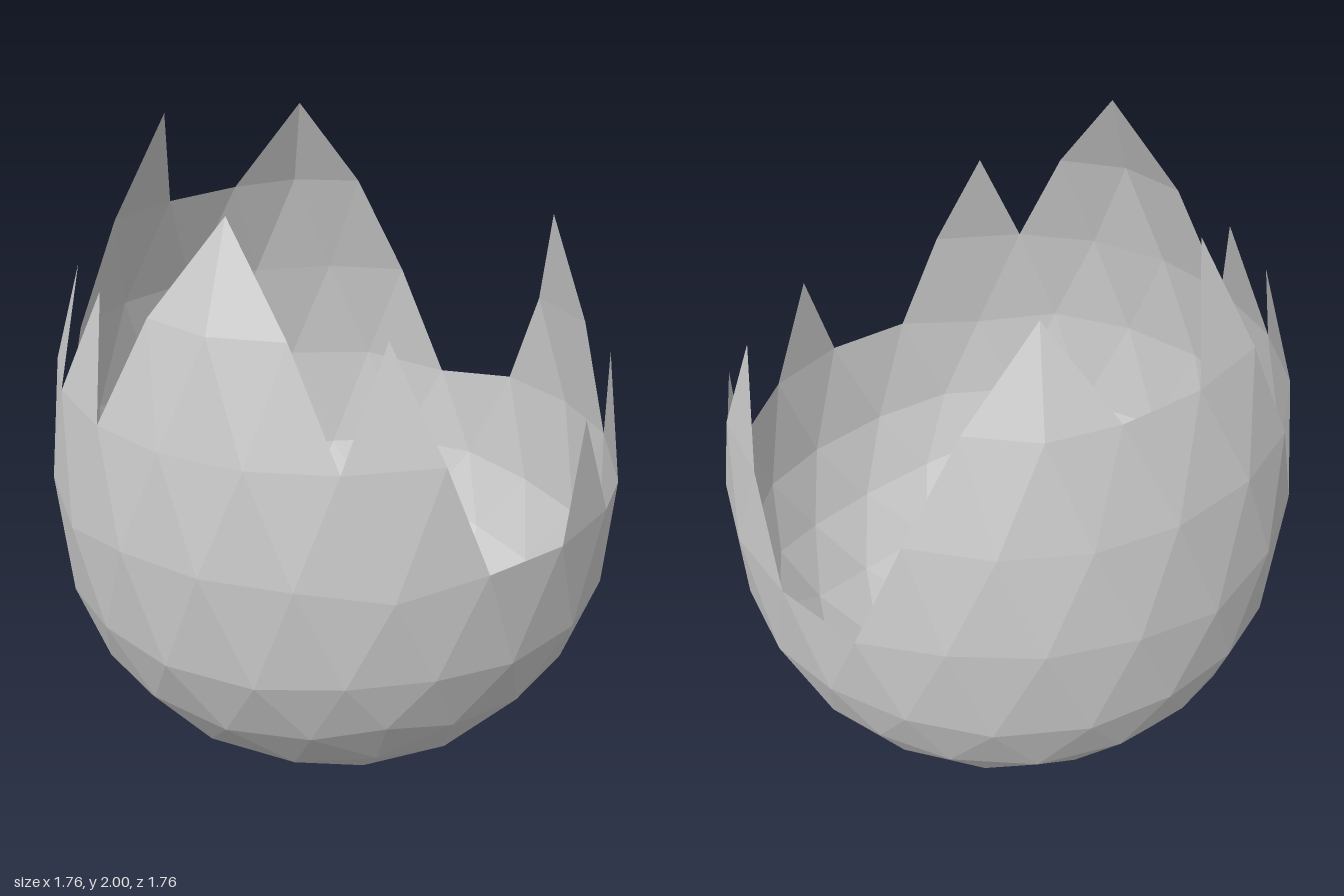
import * as THREE from 'three';

const R = 0.88;   // shell radius
const N = 4;      // splits per icosahedron edge

// Broken rim as [angle in degrees, row]; row 0 is the top pole, 12 the bottom pole
const RIM = [
  [-72, 3], [-54, 4], [-45, 5], [-36, 6], [-18, 6], [-9, 5], [0, 4], [9, 5], [18, 6], [27, 5], [36, 6],
  [54, 6], [63, 5], [72, 6], [90, 6], [99, 5], [108, 4], [117, 5], [126, 4], [144, 3], [162, 4],
  [171, 5], [180, 4], [189, 5], [198, 4], [207, 5], [216, 6], [225, 5], [234, 4], [240, 3],
  [252, 4], [270, 4], [288, 3],
];

function rimRow(angle) {
  const i = Math.max(1, RIM.findIndex(([a]) => a >= angle));
  const [a0, r0] = RIM[i - 1], [a1, r1] = RIM[i];
  return r0 + (r1 - r0) * (angle - a0) / (a1 - a0);
}

// Icosahedron corner with the row it lies on
function corner(degrees, row) {
  const a = THREE.MathUtils.degToRad(degrees);
  const y = Math.sign(6 - row) / Math.sqrt(5), r = 2 / Math.sqrt(5);
  return { p: new THREE.Vector3(r * Math.cos(a), y, r * Math.sin(a)), row };
}

// Egg shape: round below, stretched upwards above the middle
function eggPoint(n, row) {
  let y = R * (1 + n.y);
  if (row === 7) y += 0.01;
  if (row === 6) y = 0.99 + 0.04 * Math.min(0, Math.cos(5 * Math.atan2(n.z, n.x)));
  if (row === 5) y = 1.325;
  if (row === 4) y = 1.66;
  if (row <= 3) y = n.y < 0.7 ? 1.95 : 2;
  return new THREE.Vector3(R * n.x, y, R * n.z);
}

function shellGeometry() {
  const positions = [];

  function addFace(verts) {
    // Keep only the faces below the broken rim
    const mid = new THREE.Vector3();
    verts.forEach((v) => mid.add(v.n));
    const row = (verts[0].row + verts[1].row + verts[2].row) / 3;
    let angle = THREE.MathUtils.radToDeg(Math.atan2(mid.z, mid.x));
    if (angle < -72) angle += 360;
    if (row < rimRow(angle)) return;

    // Wind every face outwards
    const [a, b, c] = verts.map((v) => v.n);
    const normal = b.clone().sub(a).cross(c.clone().sub(a));
    const order = normal.dot(mid) > 0 ? [0, 1, 2] : [0, 2, 1];
    order.forEach((i) => positions.push(...eggPoint(verts[i].n, verts[i].row).toArray()));
  }

  // Split one large triangle into small ones
  function splitTriangle(A, B, C) {
    const at = (i, j) => {
      const k = N - i - j;
      const n = new THREE.Vector3()
        .addScaledVector(A.p, k / N).addScaledVector(B.p, i / N).addScaledVector(C.p, j / N).normalize();
      return { n, row: Math.round((A.row * k + B.row * i + C.row * j) / N) };
    };
    for (let i = 0; i < N; i++) {
      for (let j = 0; j < N - i; j++) {
        addFace([at(i, j), at(i + 1, j), at(i, j + 1)]);
        if (i + j < N - 1) addFace([at(i + 1, j), at(i + 1, j + 1), at(i, j + 1)]);
      }
    }
  }

  const top = { p: new THREE.Vector3(0, 1, 0), row: 0 };
  const bottom = { p: new THREE.Vector3(0, -1, 0), row: 12 };
  for (let s = 0; s < 5; s++) {
    const u0 = corner(72 * s, 4), u1 = corner(72 * s + 72, 4);
    const l0 = corner(72 * s + 36, 8), l1 = corner(72 * s + 108, 8);
    splitTriangle(top, u0, u1);
    splitTriangle(u0, u1, l0);
    splitTriangle(l0, l1, u1);
    splitTriangle(bottom, l0, l1);
  }

  const geometry = new THREE.BufferGeometry();
  geometry.setAttribute('position', new THREE.Float32BufferAttribute(positions, 3));
  geometry.computeVertexNormals();
  return geometry;
}

export function createModel() {
  const group = new THREE.Group();
  group.name = 'brokenEgg';
  const material = new THREE.MeshStandardMaterial({
    color: 0xcccccc, flatShading: true, side: THREE.DoubleSide,
  });
  const shell = new THREE.Mesh(shellGeometry(), material);
  shell.name = 'eggshell';
  group.add(shell);
  return group;
}
